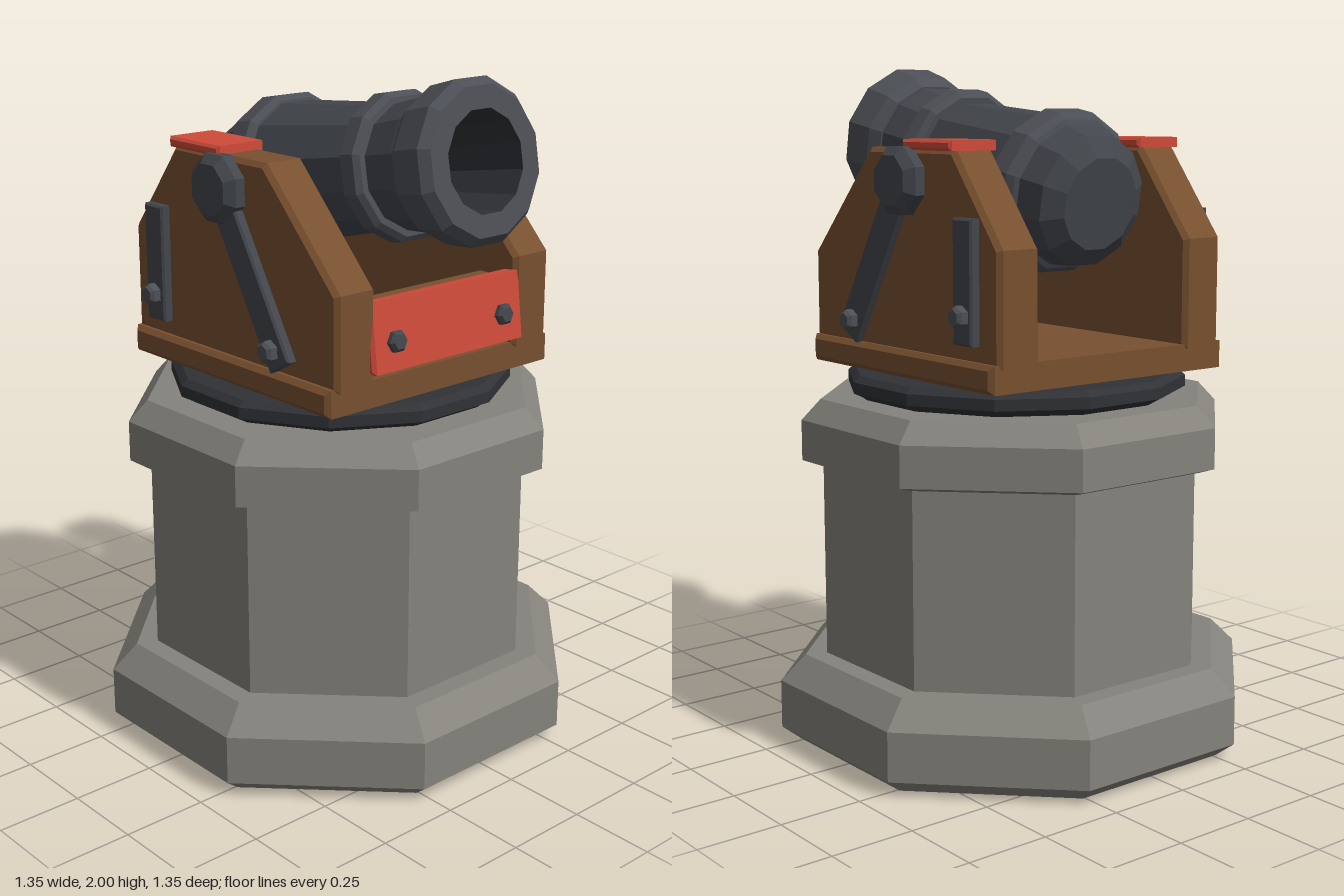
import * as THREE from 'three';

const mat = (color) => new THREE.MeshStandardMaterial({ color, flatShading: true, side: THREE.DoubleSide });
const stone = mat(0x85837c), wood = mat(0x78502f), iron = mat(0x43464c);
const band = mat(0x4c4f55), darkIron = mat(0x303236), red = mat(0xcf4b39);

export function createModel() {
  const model = new THREE.Group();

  const add = (name, geometry, material, x = 0, y = 0, z = 0, parent = model) => {
    const mesh = new THREE.Mesh(geometry, material);
    mesh.name = name;
    mesh.position.set(x, y, z);
    parent.add(mesh);
    return mesh;
  };

  // Faceted turned solid; profile is [flat-to-centre distance, height], flats face the axes
  const turned = (profile, sides) => {
    const k = 1 / Math.cos(Math.PI / sides);
    const points = profile.map(([r, y]) => new THREE.Vector2(r * k, y));
    return new THREE.LatheGeometry(points, sides).rotateY(Math.PI / sides);
  };

  // Bevelled slab from an outline in (z, y), with its thickness along x
  const slab = (outline, thickness, bevel) => {
    const shape = new THREE.Shape(outline.map(([z, y]) => new THREE.Vector2(z, y)));
    const geometry = new THREE.ExtrudeGeometry(shape, {
      depth: thickness - 2 * bevel, bevelEnabled: true, bevelSegments: 1,
      bevelSize: bevel, bevelThickness: bevel, bevelOffset: -bevel,
    });
    return geometry.translate(0, 0, bevel - thickness / 2).rotateY(-Math.PI / 2);
  };
  const block = (w, h, d, bevel) =>
    slab([[-d / 2, -h / 2], [d / 2, -h / 2], [d / 2, h / 2], [-d / 2, h / 2]], w, bevel);

  const boltGeometry = turned([[0, 0], [0.028, 0], [0.028, 0.025], [0.02, 0.035], [0, 0.035]], 6);

  // Octagonal stone pedestal
  add('pedestalFoot', turned([[0, 0], [0.62, 0], [0.675, 0.045], [0.675, 0.19], [0.605, 0.265], [0, 0.265]], 8), stone);
  add('pedestalColumn', turned([[0.545, 0.26], [0.545, 0.86]], 8), stone);
  add('pedestalCap', turned([[0, 0.845], [0.56, 0.845], [0.603, 0.86], [0.603, 0.98], [0.55, 1.04], [0, 1.04]], 8), stone);

  // Turntable
  add('turntable', turned([[0.45, 1.035], [0.47, 1.05], [0.495, 1.062], [0.495, 1.095],
    [0.475, 1.112], [0.38, 1.112], [0.38, 1.13]], 12), darkIron);

  // Carriage bed and front crosspiece
  add('carriageBed', block(0.875, 0.08, 0.885, 0.014), wood, 0, 1.162, 0);
  add('frontCrosspiece', block(0.58, 0.2, 0.11, 0.01), wood, 0, 1.295, 0.37);

  // Red front plate, leaning back, with two bolts
  const plate = new THREE.Group();
  plate.name = 'frontPlate';
  plate.position.set(0, 1.32, 0.442);
  plate.rotation.x = -0.12;
  model.add(plate);
  add('frontPlateBoard', block(0.59, 0.2, 0.04, 0.01), red, 0, 0, 0, plate);
  for (const s of [1, -1]) {
    add('frontPlateBolt', boltGeometry, iron, s * 0.21, -0.018, 0.008, plate).rotation.x = Math.PI / 2;
  }

  // Side cheeks with their caps, straps and bolts
  const cheek = slab([[-0.45, 1.19], [0.455, 1.19], [0.455, 1.46], [0.158, 1.772],
    [-0.245, 1.772], [-0.45, 1.51]], 0.142, 0.014);
  const knob = turned([[0, 0], [0.095, 0], [0.095, 0.035], [0.07, 0.06], [0, 0.06]], 8);
  for (const s of [1, -1]) {
    const side = new THREE.Group();
    side.name = s > 0 ? 'leftCheek' : 'rightCheek';
    model.add(side);
    add('cheekBoard', cheek, wood, s * 0.343, 0, 0, side);
    add('cheekCap', block(0.165, 0.03, 0.228, 0.008), red, s * 0.345, 1.782, -0.138, side);
    add('longStrap', block(0.036, 0.53, 0.095, 0.006), iron, s * 0.425, 1.452, 0.113, side).rotation.x = -0.53;
    add('shortStrap', block(0.036, 0.345, 0.085, 0.006), iron, s * 0.425, 1.418, -0.32, side);
    add('trunnionKnob', knob, iron, s * 0.41, 1.682, -0.02, side).rotation.z = -s * Math.PI / 2;
    for (const [y, z] of [[1.267, 0.214], [1.325, -0.322]]) {
      add('strapBolt', boltGeometry, band, s * 0.44, y, z, side).rotation.z = -s * Math.PI / 2;
    }
  }

  // Cannon barrel, tilted up about its trunnions
  const barrel = new THREE.Group();
  barrel.name = 'barrel';
  barrel.position.set(0, 1.68, -0.02);
  barrel.rotation.x = -0.175;
  model.add(barrel);
  const along = (profile) => turned(profile, 12).rotateX(Math.PI / 2);
  add('barrelBody', along([[0, -0.37], [0.13, -0.37], [0.185, -0.33], [0.203, -0.23], [0.208, -0.15],
    [0.174, 0.26], [0.174, 0.33], [0.185, 0.44], [0.185, 0.48]]), iron, 0, 0, 0, barrel);
  add('breechRing', along([[0.19, -0.25], [0.215, -0.24], [0.231, -0.22], [0.231, -0.155], [0.215, -0.14], [0.19, -0.14]]), band, 0, 0, 0, barrel);
  add('frontRing', along([[0.17, 0.25], [0.192, 0.25], [0.207, 0.265], [0.207, 0.315], [0.192, 0.33], [0.17, 0.33]]), band, 0, 0, 0, barrel);
  add('muzzle', along([[0.175, 0.455], [0.19, 0.455], [0.213, 0.49], [0.223, 0.588], [0.2, 0.615], [0.138, 0.615]]), band, 0, 0, 0, barrel);
  add('bore', along([[0.138, 0.615], [0.115, 0.34], [0, 0.34]]), darkIron, 0, 0, 0, barrel);

  return model;
}
